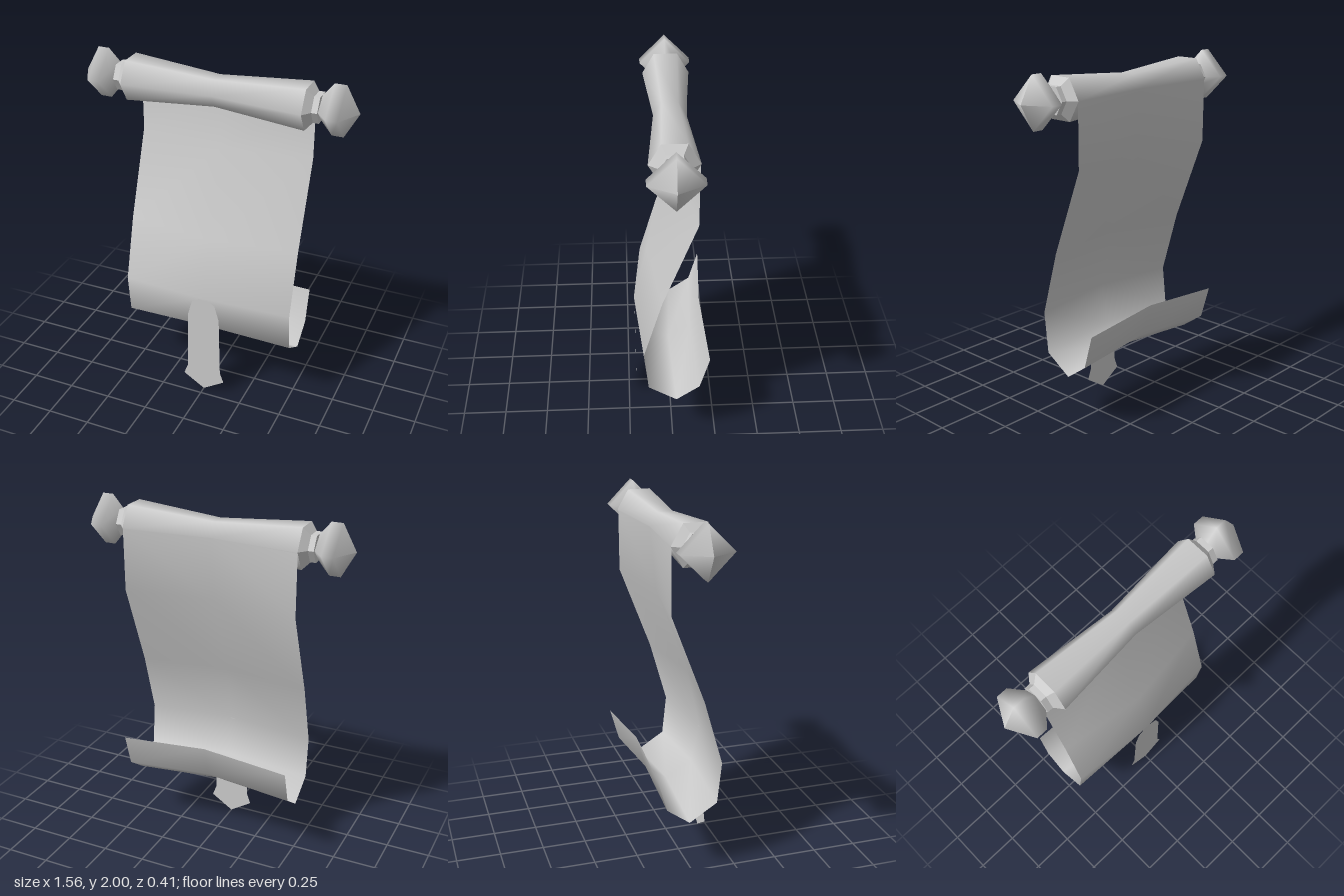
import * as THREE from 'three';

const AXIS_Y = 1.86, AXIS_Z = -0.004;

export function createModel() {
  const group = new THREE.Group();
  const grey = new THREE.MeshStandardMaterial({ color: 0xcccccc, side: THREE.DoubleSide });
  grey.name = 'plain grey';

  const add = (geometry, name) => {
    const mesh = new THREE.Mesh(geometry, grey);
    mesh.name = name;
    group.add(mesh);
    return mesh;
  };

  // Turned part along the x axis; profile is [radius, x] with x increasing
  const turned = (profile, sides, name, flat = false, mirror = false) => {
    let geo = new THREE.LatheGeometry(profile.map(([r, x]) => new THREE.Vector2(r, x)), sides);
    if (flat) {
      geo = geo.toNonIndexed();
      geo.computeVertexNormals();
    }
    geo.rotateZ(-Math.PI / 2);
    if (mirror) geo.rotateY(Math.PI);
    geo.translate(0, AXIS_Y, AXIS_Z);
    return add(geo, name);
  };

  // Six-sided waisted roller
  turned([[0.13, -0.508], [0.087, 0], [0.13, 0.508]], 6, 'roller');

  // Bevel, neck and four-sided knob at each end
  for (const [side, mirror] of [['left', false], ['right', true]]) {
    turned([[0.13, 0.508], [0.083, 0.545]], 6, side + 'Bevel', true, mirror);
    turned([[0.083, 0.545], [0.083, 0.577]], 6, side + 'Neck', true, mirror);
    turned([[0.083, 0.577], [0, 0.577]], 6, side + 'NeckEnd', true, mirror);
    turned([[0.07, 0.577], [0.143, 0.637], [0.143, 0.7], [0, 0.778]], 4, side + 'Knob', false, mirror);
  }

  // Hanging sheet: [z, y] profiles at the side edges and along the middle
  const edge = [[-0.13, 1.86], [-0.128, 1.5], [0.058, 1.01], [0.162, 0.645],
    [0.137, 0.41], [-0.02, 0.31], [-0.15, 0.405], [-0.205, 0.6]];
  const middle = [[-0.09, 1.86], [-0.055, 1.5], [0.127, 1.01], [0.207, 0.66],
    [0.157, 0.435], [0.003, 0.343], [-0.125, 0.437], [-0.178, 0.63]];
  const positions = [], indices = [];
  edge.forEach(([ez, ey], i) => {
    const [mz, my] = middle[i];
    positions.push(-0.508, ey, ez, 0, my, mz, 0.508, ey, ez);
    if (i === 0) return;
    for (let c = 0; c < 2; c++) {
      const a = (i - 1) * 3 + c, b = a + 3;
      indices.push(a, b, a + 1, a + 1, b, b + 1);
    }
  });
  const sheet = new THREE.BufferGeometry();
  sheet.setAttribute('position', new THREE.Float32BufferAttribute(positions, 3));
  sheet.setIndex(indices);
  sheet.computeVertexNormals();
  add(sheet, 'sheet');

  // Flat pointed ribbon in front
  const half = [[0.03, 0.648], [0.07, 0.622], [0.097, 0.527], [0.105, 0.145], [0.128, 0.082]];
  const outline = [[0, 0.655], ...half, [0, 0], ...half.map(([x, y]) => [-x, y]).reverse()];
  const ribbon = new THREE.ShapeGeometry(new THREE.Shape(outline.map(([x, y]) => new THREE.Vector2(x, y))));
  ribbon.translate(0, 0, 0.204);
  add(ribbon, 'ribbon');

  return group;
}
